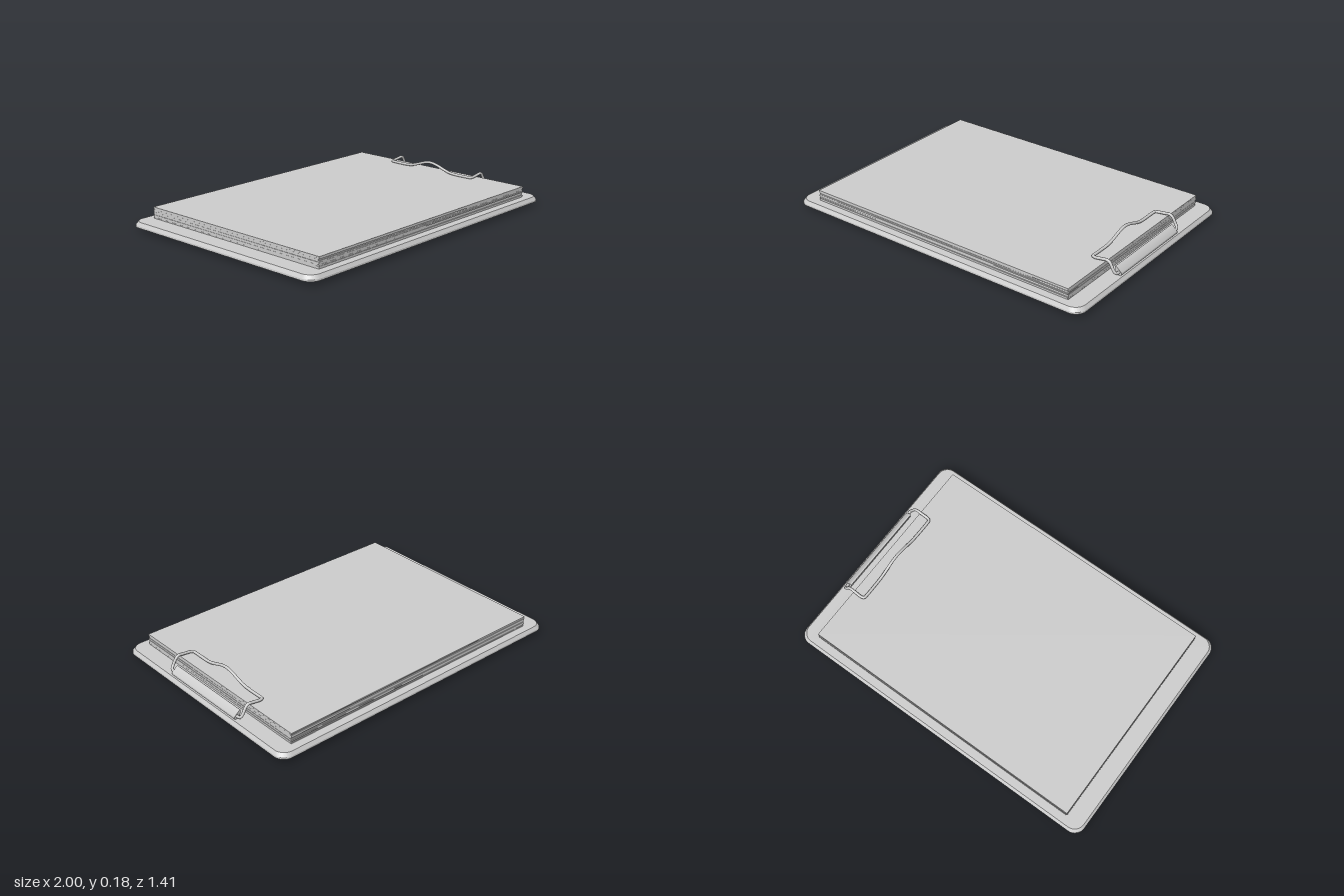
import * as THREE from 'three';
import { toCreasedNormals } from 'three/addons/utils/BufferGeometryUtils.js';

const grey = new THREE.MeshStandardMaterial({ color: 0xcccccc });
grey.name = 'light grey';

function add(group, name, geometry) {
  const mesh = new THREE.Mesh(geometry, grey);
  mesh.name = name;
  group.add(mesh);
  return mesh;
}

function roundedRect(hx, hy, r) {
  const s = new THREE.Shape();
  s.moveTo(-hx + r, -hy);
  s.lineTo(hx - r, -hy).absarc(hx - r, -hy + r, r, -Math.PI / 2, 0);
  s.lineTo(hx, hy - r).absarc(hx - r, hy - r, r, 0, Math.PI / 2);
  s.lineTo(-hx + r, hy).absarc(-hx + r, hy - r, r, Math.PI / 2, Math.PI);
  s.lineTo(-hx, -hy + r).absarc(-hx + r, -hy + r, r, Math.PI, Math.PI * 1.5);
  return s;
}

// Board with rounded corners, its edge sloping inwards towards the top
function boardGeometry() {
  const hx = 0.998, hz = 0.703, y0 = 0.024, h = 0.03;
  let g = new THREE.ExtrudeGeometry(roundedRect(hx, hz, 0.065),
    { depth: h, steps: 3, bevelEnabled: false, curveSegments: 10 });
  g.rotateX(-Math.PI / 2);
  const p = g.attributes.position;
  for (let i = 0; i < p.count; i++) {
    const t = p.getY(i) / h;
    const inset = 0.013 * Math.max(0, (t - 0.3) / 0.7);
    p.setXYZ(i, p.getX(i) * (1 - inset / hx), p.getY(i) + y0, p.getZ(i) * (1 - inset / hz));
  }
  g = toCreasedNormals(g, 0.4);
  return g;
}

// Wire loop of the clip: half path from the barrel to the middle of the grip, mirrored
function wireGeometry() {
  const half = [
    [0.962, 0.072, 0.25], [0.962, 0.072, 0.295], [0.959, 0.076, 0.311], [0.95, 0.088, 0.316],
    [0.922, 0.132, 0.316], [0.905, 0.14, 0.316], [0.88, 0.137, 0.316],
    [0.828, 0.13, 0.316], [0.814, 0.129, 0.309], [0.812, 0.129, 0.295],
    [0.812, 0.129, 0.19], [0.812, 0.133, 0.15], [0.812, 0.147, 0.1],
    [0.812, 0.164, 0.05], [0.812, 0.172, 0],
  ].map(a => new THREE.Vector3(...a));
  const other = half.slice(0, -1).reverse().map(v => new THREE.Vector3(v.x, v.y, -v.z));
  const curve = new THREE.CatmullRomCurve3([...half, ...other], false, 'centripetal');
  return new THREE.TubeGeometry(curve, 200, 0.0085, 10, false);
}

// Upright end of the wire, standing above each corner of the grip
function barrelGeometry() {
  // Sloping plate curled under at its lower edge
  const s = new THREE.Shape();
  s.moveTo(0.936, 0.098);
  s.quadraticCurveTo(0.942, 0.104, 0.949, 0.097);
  s.lineTo(0.975, 0.074);
  s.quadraticCurveTo(0.984, 0.062, 0.973, 0.053);
  s.lineTo(0.952, 0.052);
  s.quadraticCurveTo(0.942, 0.056, 0.942, 0.07);
  s.lineTo(0.936, 0.098);
  const g = new THREE.ExtrudeGeometry(s, { depth: 0.57, bevelEnabled: false, curveSegments: 8 });
  g.translate(0, 0, -0.285);
  return toCreasedNormals(g, 0.6);
}

export function createModel() {
  const model = new THREE.Group();
  model.name = 'clipboard';
  add(model, 'board', boardGeometry());

  // Stack of paper in slightly shifted bundles
  const paper = new THREE.Group();
  paper.name = 'paperStack';
  model.add(paper);
  const layers = 9, y0 = 0.053, y1 = 0.12, t = (y1 - y0) / layers;
  for (let i = 0; i < layers; i++) {
    const top = i === layers - 1;
    const sheet = add(paper, 'sheets' + (i + 1),
      new THREE.BoxGeometry(1.77, t, top ? 1.29 : 1.284));
    sheet.position.set(0.005 + (top ? 0 : 0.001 * Math.sin(i * 2.7)),
      y0 + t * (i + 0.5), top ? 0 : 0.003 * Math.sin(i * 1.9));
    sheet.rotation.y = top ? 0 : 0.0015 * Math.sin(i * 4.1);
  }

  // Clip
  const clip = new THREE.Group();
  clip.name = 'clip';
  model.add(clip);
  add(clip, 'clipWire', wireGeometry());
  add(clip, 'clipBarrel', barrelGeometry());

  // Domed rivets under the board
  const dome = [[0, 0], [0.012, 0.001], [0.021, 0.005], [0.028, 0.012], [0.029, 0.017], [0.022, 0.019], [0.02, 0.026]]
    .map(a => new THREE.Vector2(...a));
  for (const side of [1, -1]) {
    const rivet = add(model, side > 0 ? 'frontRivet' : 'backRivet', new THREE.LatheGeometry(dome, 24));
    rivet.position.set(0.885, 0, side * 0.235);
  }
  return model;
}
